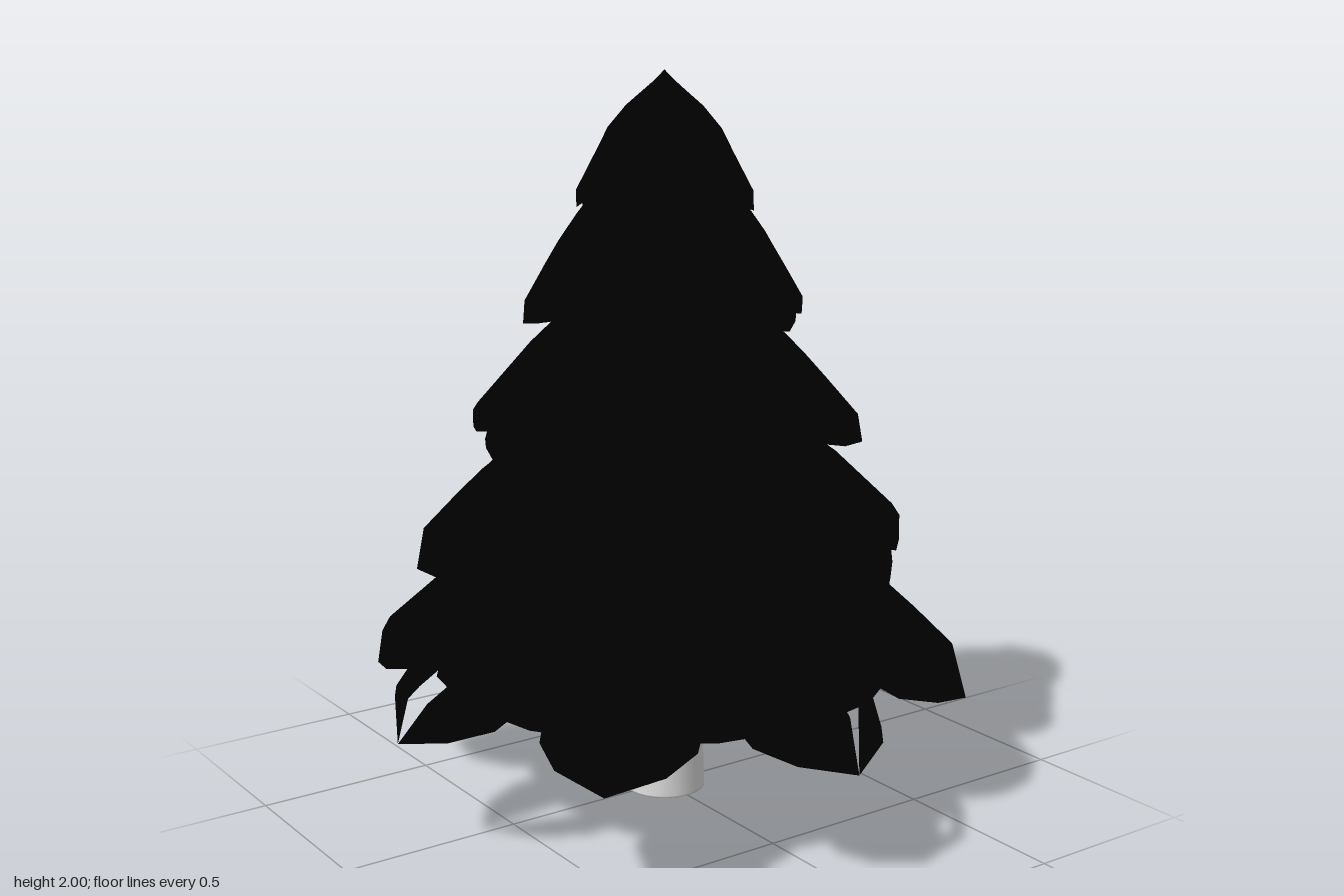
import * as THREE from 'three';

const foliageMat = new THREE.MeshStandardMaterial({ color: 0x000000, side: THREE.DoubleSide });
foliageMat.name = 'black foliage';
const trunkMat = new THREE.MeshStandardMaterial({ color: 0xe0e0e0 });
trunkMat.name = 'pale grey trunk';

// Each tier: [radius, height] at the leaf's root, ridge end and tip, then half width and hem height
const tiers = [
  { root: [0.40, 0.75], ridge: [0.80, 0.45], tip: [0.84, 0.31], width: 0.205, hem: 0.37, bulge: 0.6, turn: 0 },
  { root: [0.29, 1.08], ridge: [0.66, 0.785], tip: [0.685, 0.68], width: 0.185, hem: 0.71, bulge: 0.6, turn: 0.5 },
  { root: [0.20, 1.42], ridge: [0.525, 1.09], tip: [0.54, 1.02], width: 0.15, hem: 1.045, bulge: 0.4, turn: 0 },
  { root: [0.16, 1.72], ridge: [0.375, 1.40], tip: [0.385, 1.34], width: 0.12, hem: 1.365, bulge: 0.4, turn: 0.5 },
  { root: [0.03, 1.97], ridge: [0.235, 1.69], tip: [0.24, 1.635], width: 0.085, hem: 1.66, bulge: 0.8, turn: 0 },
];

// Rows along a leaf: position, relative width, how far the sides hang to the hem, outward bulge
const rows = [
  [0, 0.45, 0.15, 0], [0.28, 0.85, 0.5, 0.02], [0.5, 1, 0.85, 0.025],
  [0.7, 0.98, 1, 0.015], [1, 0.68, 1.35, 0],
];
const columns = [-1, -0.85, -0.6, 0, 0.6, 0.85, 1];

// A broad, drooping leaf pointing along +z; a notched leaf is open beside its tip
function leafGeometry({ root, ridge, tip, width, hem, bulge }, notched) {
  const grid = rows.map(([t, w, hang, out]) => columns.map((c) => {
    const side = c ** 4;
    const r = THREE.MathUtils.lerp(root[0], ridge[0], t) + out * bulge;
    const y = THREE.MathUtils.lerp(root[1], ridge[1], t) + out * bulge;
    const back = t * side * 0.15 * width;
    return [c * w * width, THREE.MathUtils.lerp(y, hem, hang * side), r - back];
  }));
  const end = [0, tip[1], tip[0]];
  const points = [];
  for (let i = 0; i < rows.length; i++) {
    for (let j = 0; j < columns.length - 1; j++) {
      if (notched && j === 3 && i >= rows.length - 2) {
        // Keep only the outer half of the quad beside the notch
        if (i === rows.length - 2) points.push(grid[i][4], end, grid[i + 1][4]);
        continue;
      }
      const a = grid[i][j], d = grid[i][j + 1];
      if (i === rows.length - 1) {
        points.push(a, end, d);
      } else {
        const b = grid[i + 1][j], c = grid[i + 1][j + 1];
        points.push(a, b, c, a, c, d);
      }
    }
  }
  const geometry = new THREE.BufferGeometry();
  geometry.setAttribute('position', new THREE.Float32BufferAttribute(points.flat(), 3));
  geometry.computeVertexNormals();
  return geometry;
}

export function createModel() {
  const model = new THREE.Group();
  model.name = 'tree';

  // Tapered trunk
  const trunkProfile = [[0, 0], [0.114, 0], [0.114, 0.005], [0.1, 0.37], [0.095, 0.5], [0, 0.5]]
    .map(([r, y]) => new THREE.Vector2(r, y));
  const trunk = new THREE.Mesh(new THREE.LatheGeometry(trunkProfile, 24), trunkMat);
  trunk.name = 'trunk';
  model.add(trunk);

  // Solid stepped core behind the leaves
  const profile = [
    [0, 0.38], [0.3, 0.38], [0.64, 0.37], [0.42, 0.68], [0.53, 0.74], [0.31, 1.0], [0.42, 1.06],
    [0.21, 1.33], [0.31, 1.38], [0.17, 1.63], [0.19, 1.67], [0.14, 1.82], [0.05, 1.95], [0, 2],
  ].map(([r, y]) => new THREE.Vector2(r, y));
  const core = new THREE.Mesh(new THREE.LatheGeometry(profile, 16), foliageMat);
  core.name = 'foliageCore';
  model.add(core);

  // Five staggered rings of eight leaves
  tiers.forEach((tier, n) => {
    const ring = new THREE.Group();
    ring.name = `leafTier${n + 1}`;
    const plain = leafGeometry(tier, false);
    const notched = n === 0 ? leafGeometry(tier, true) : plain;
    for (let k = 0; k < 8; k++) {
      const leaf = new THREE.Mesh(k % 2 ? plain : notched, foliageMat);
      leaf.name = 'leaf';
      leaf.rotation.y = (k + tier.turn) * Math.PI / 4;
      ring.add(leaf);
    }
    model.add(ring);
  });

  return model;
}
